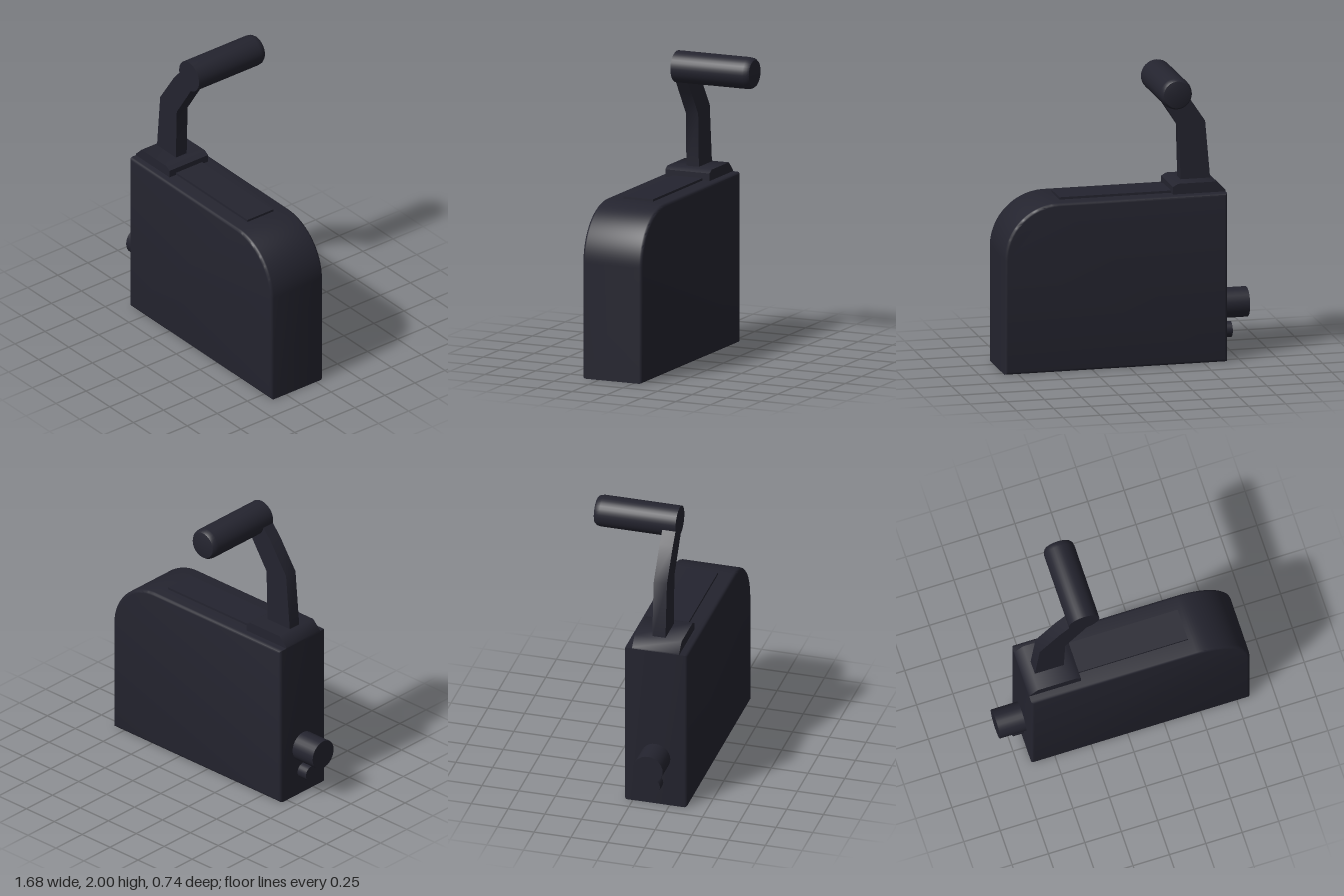
import * as THREE from 'three';
import { toCreasedNormals } from 'three/addons/utils/BufferGeometryUtils.js';

export function createModel() {
  const group = new THREE.Group();
  const dark = new THREE.MeshStandardMaterial({ color: 0x24242f });
  dark.name = 'dark casing';

  function add(name, geometry) {
    const mesh = new THREE.Mesh(geometry, dark);
    mesh.name = name;
    group.add(mesh);
    return mesh;
  }

  // Extrudes a front outline between two depths, with an optional inset bevel
  function slab(name, shape, z0, z1, bevel = 0, crease = 0.6) {
    const geometry = new THREE.ExtrudeGeometry(shape, {
      depth: z1 - z0 - 2 * bevel,
      bevelEnabled: bevel > 0,
      bevelSize: bevel,
      bevelThickness: bevel,
      bevelOffset: -bevel,
      bevelSegments: 3,
      curveSegments: 16,
    });
    geometry.translate(0, 0, z0 + bevel);
    return add(name, toCreasedNormals(geometry, crease));
  }

  const outline = (points) => new THREE.Shape(points.map(([x, y]) => new THREE.Vector2(x, y)));

  // Casing with one large rounded top corner
  const casing = new THREE.Shape();
  casing.moveTo(-0.66, 0);
  casing.lineTo(0.84, 0);
  casing.lineTo(0.84, 0.77);
  casing.absarc(0.475, 0.77, 0.365, 0, Math.PI / 2, false);
  casing.lineTo(-0.66, 1.135);
  slab('casing', casing, -0.06, 0.37, 0.02);

  // Raised strip along the top
  slab('topStrip', outline([[-0.6, 1.12], [0.447, 1.12], [0.447, 1.15], [-0.6, 1.15]]), 0.045, 0.26);

  // Chamfered mount under the lever
  slab('leverMount', outline([
    [-0.66, 1.12], [-0.305, 1.12], [-0.305, 1.185], [-0.34, 1.205], [-0.6, 1.205], [-0.66, 1.145],
  ]), -0.005, 0.315, 0, 0.9);

  // Bent flat lever arm
  slab('leverArm', outline([
    [-0.585, 1.19], [-0.385, 1.19], [-0.375, 1.56], [-0.265, 1.73], [-0.19, 1.85],
    [-0.3, 1.93], [-0.41, 1.8], [-0.55, 1.59],
  ]), 0.11, 0.2, 0, 0.8);

  // Handle grip with a domed far end
  const profile = [[0, 0], [0.105, 0], [0.105, 0.52], [0.101, 0.545], [0.09, 0.56], [0.06, 0.567], [0, 0.57]];
  const grip = new THREE.LatheGeometry(profile.map(([r, y]) => new THREE.Vector2(r, y)), 32);
  grip.rotateX(-Math.PI / 2);
  add('handleGrip', toCreasedNormals(grip, 0.7)).position.set(-0.245, 1.895, 0.2);

  // Two round knobs on the end wall
  for (const [name, radius, tip, y] of [['largeKnob', 0.1, -0.84, 0.345], ['smallKnob', 0.052, -0.735, 0.165]]) {
    const length = -0.64 - tip;
    const knob = new THREE.CylinderGeometry(radius, radius, length, 28);
    knob.rotateZ(Math.PI / 2);
    add(name, knob).position.set(tip + length / 2, y, 0.155);
  }

  return group;
}
